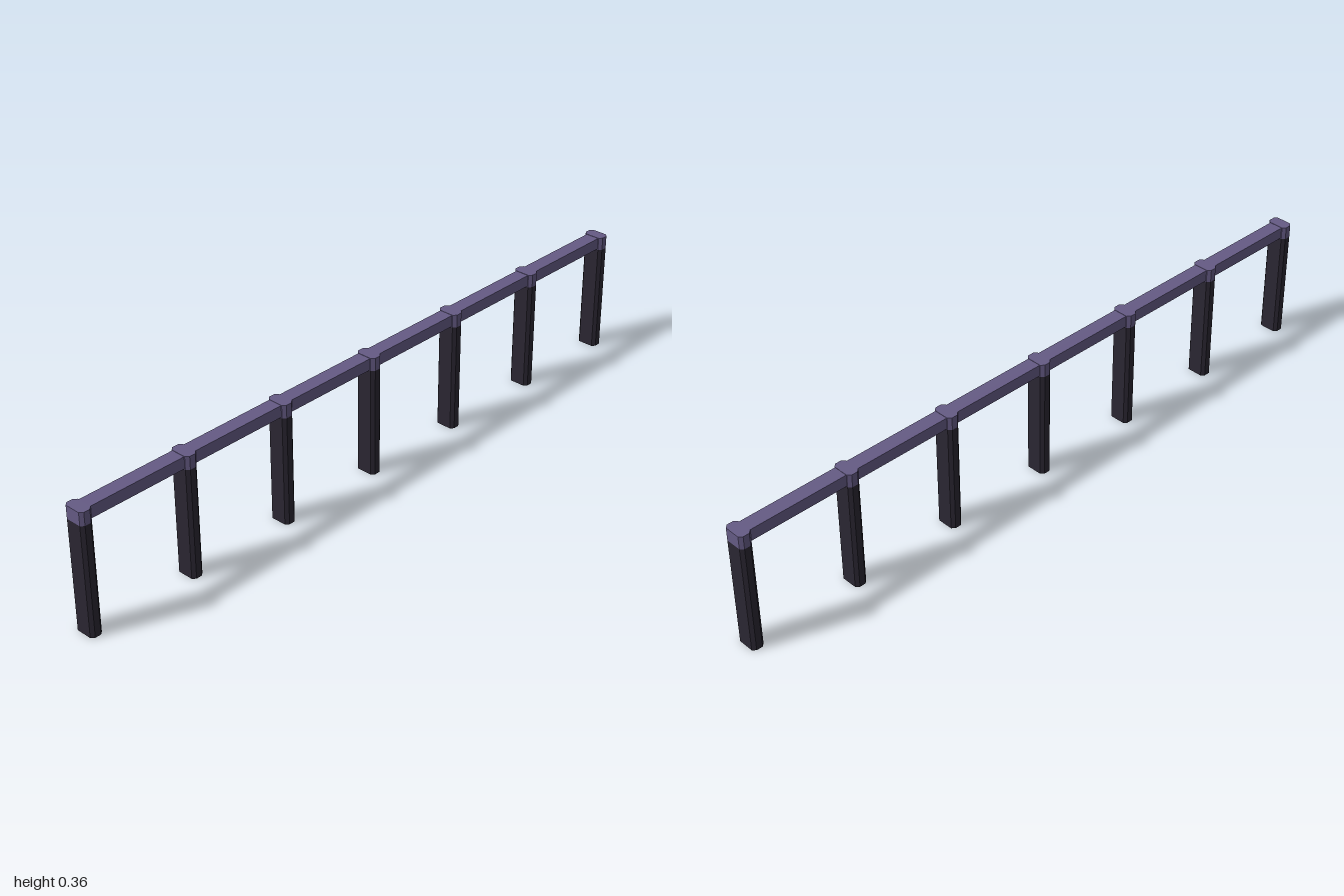
import * as THREE from 'three';

const HEIGHT = 0.36, CAP_Y = 0.322;
const HALF_X = 0.018, HALF_Z = 0.031;
const POSTS = 7, END_X = 0.982;

// Upright prism with a long chamfered section, spanning y0 to y1
function prism(y0, y1, material, name) {
  const cx = 0.009, cz = 0.023;
  const shape = new THREE.Shape([
    [HALF_X, -cz], [HALF_X, cz], [cx, HALF_Z], [-cx, HALF_Z],
    [-HALF_X, cz], [-HALF_X, -cz], [-cx, -HALF_Z], [cx, -HALF_Z],
  ].map(([x, z]) => new THREE.Vector2(x, z)));
  const geometry = new THREE.ExtrudeGeometry(shape, { depth: y1 - y0, bevelEnabled: false });
  geometry.rotateX(-Math.PI / 2).translate(0, y0, 0);
  const mesh = new THREE.Mesh(geometry, material);
  mesh.name = name;
  return mesh;
}

export function createModel() {
  const model = new THREE.Group();
  model.name = 'railing';
  const purple = new THREE.MeshStandardMaterial({ color: 0x655b85, flatShading: true });
  const dark = new THREE.MeshStandardMaterial({ color: 0x2a2632, flatShading: true });

  // Evenly spaced posts, each with a coloured cap level with the rail
  for (let i = 0; i < POSTS; i++) {
    const post = new THREE.Group();
    post.name = 'post' + (i + 1);
    post.add(prism(0, CAP_Y, dark, 'postShaft'), prism(CAP_Y, HEIGHT, purple, 'postCap'));
    post.position.x = -END_X + (2 * END_X * i) / (POSTS - 1);
    model.add(post);
  }

  // Rail running through the caps, with a dark underside
  const railBottom = 0.325, railTop = HEIGHT - 0.001;
  const rail = new THREE.Mesh(
    new THREE.BoxGeometry(2 * END_X, railTop - railBottom, 0.042),
    [purple, purple, purple, dark, purple, purple],
  );
  rail.name = 'rail';
  rail.position.y = (railTop + railBottom) / 2;
  model.add(rail);

  return model;
}
